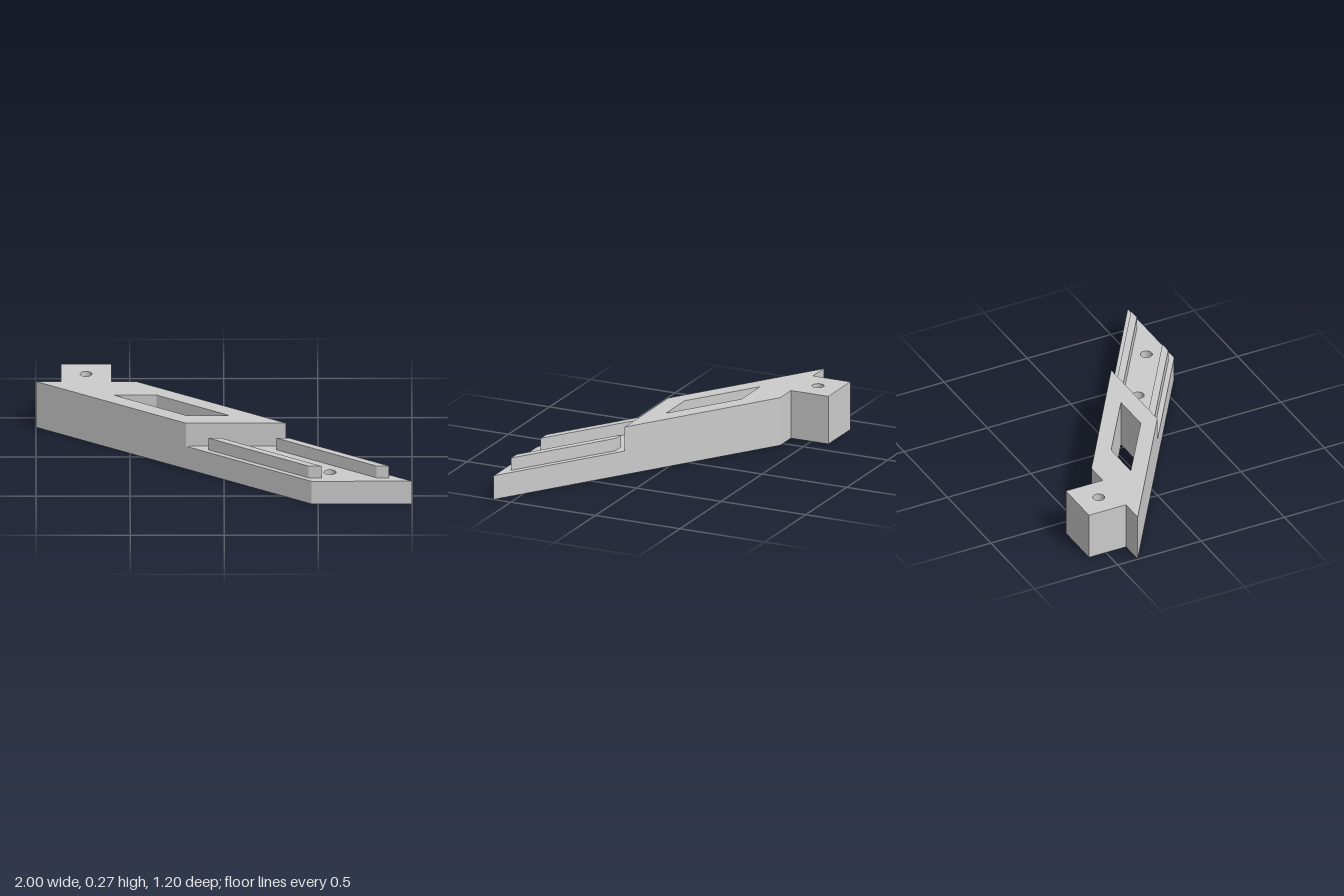
import * as THREE from 'three';

const grey = new THREE.MeshStandardMaterial({ color: 0xcccccc });
grey.name = 'grey';

// Plan points are [x, z], clockwise seen from below; the shape's own y is -z
// so it lies flat after rotation, and reversing gives a counter-clockwise outline.
const toPoints = (plan) => plan.map(([x, z]) => new THREE.Vector2(x, -z)).reverse();

function slab(name, plan, y0, y1, { windows = [], bores = [] } = {}) {
  const shape = new THREE.Shape(toPoints(plan));
  for (const w of windows) shape.holes.push(new THREE.Path(toPoints(w)));
  for (const [x, z] of bores) {
    shape.holes.push(new THREE.Path().absarc(x, -z, 0.032, 0, Math.PI * 2, true));
  }
  const geometry = new THREE.ExtrudeGeometry(shape, {
    depth: y1 - y0, bevelEnabled: false, curveSegments: 12,
  });
  geometry.rotateX(-Math.PI / 2);
  geometry.translate(0, y0, 0);
  const mesh = new THREE.Mesh(geometry, grey);
  mesh.name = name;
  return mesh;
}

export function createModel() {
  const model = new THREE.Group();
  model.name = 'slantedBracket';
  const low = 0.133, railTop = 0.202, high = 0.268;

  // Tall rear arm with square mounting tab and slanted window
  model.add(slab('rearArm', [
    [-1, -0.38], [-0.865, -0.38], [-0.865, -0.602], [-0.598, -0.602], [-0.598, -0.38],
    [-0.467, -0.38], [0.331, 0.154], [-0.202, 0.154],
  ], 0, high, {
    windows: [[[-0.584, -0.205], [-0.358, -0.205], [0.028, 0.055], [-0.2, 0.055]]],
    bores: [[-0.733, -0.475]],
  }));

  // Thin front plate with two screw holes
  model.add(slab('frontPlate', [
    [-0.202, 0.154], [0.331, 0.154], [1, 0.602], [0.465, 0.602],
  ], 0, low, { bores: [[0.23, 0.263], [0.563, 0.486]] }));

  // Two parallel rails on the front plate
  for (const [name, x] of [['rightRail', -0.083], ['leftRail', 0.278]]) {
    model.add(slab(name, [
      [x, 0.2], [x + 0.068, 0.2], [x + 0.6, 0.558], [x + 0.532, 0.558],
    ], low, railTop));
  }
  return model;
}
